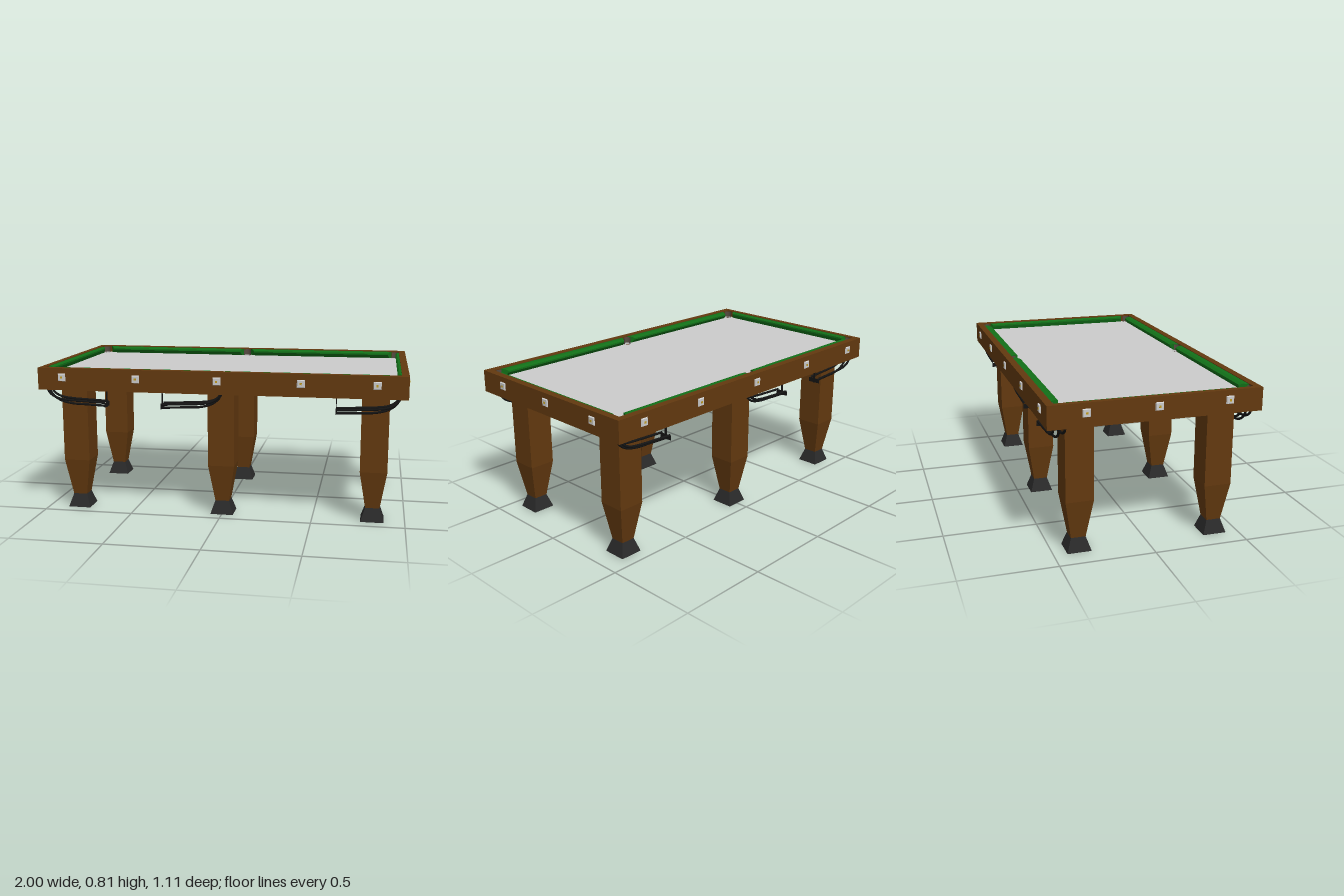
import * as THREE from 'three';

const mat = (color, extra = {}) => new THREE.MeshStandardMaterial({ color, ...extra });

export function createModel() {
  const root = new THREE.Group();
  const wood = mat(0x63390f, { flatShading: true });
  const grey = mat(0xcccccc);
  const green = mat(0x127018, { flatShading: true });
  const rubber = mat(0x2a2a2a, { flatShading: true });
  const black = mat(0x141414);
  const gold = mat(0xc09a20);
  const leather = mat(0x554a40, { side: THREE.DoubleSide });

  const add = (name, geometry, material, x = 0, y = 0, z = 0, parent = root) => {
    const mesh = new THREE.Mesh(geometry, material);
    mesh.name = name;
    mesh.position.set(x, y, z);
    parent.add(mesh);
    return mesh;
  };
  const rect = (x0, x1, z, Type = THREE.Shape) => new Type(
    [[x0, -z], [x1, -z], [x1, z], [x0, z]].map(p => new THREE.Vector2(...p)));
  // Plan shape raised upwards from y0 to y1
  const slab = (name, shape, y0, y1, material) => add(name,
    new THREE.ExtrudeGeometry(shape, { depth: y1 - y0, bevelEnabled: false, curveSegments: 10 })
      .rotateX(-Math.PI / 2), material, 0, y0, 0);

  const BOTTOM = 0.695, BED = 0.775, TOP = 0.815;
  const HALF_X = 0.99, HALF_Z = 0.548;
  const IN_L = -0.96, IN_R = 0.952, IN_Z = 0.51;

  // Pocket centres
  const pockets = [];
  for (const sz of [-1, 1]) {
    pockets.push({ x: -0.936, z: sz * 0.486, dx: -1, dz: sz });
    pockets.push({ x: 0, z: sz * 0.487, dx: 0, dz: sz });
    pockets.push({ x: 0.929, z: sz * 0.486, dx: 1, dz: sz });
  }
  const R = 0.0225;

  // Wooden frame around the bed
  const frame = rect(-HALF_X, HALF_X, HALF_Z);
  frame.holes.push(rect(IN_L, IN_R, IN_Z, THREE.Path));
  slab('frame', frame, BOTTOM, TOP, wood);

  // Bed with open pocket holes, wooden below and cloth on top
  const bed = rect(IN_L, IN_R, IN_Z);
  for (const p of pockets) bed.holes.push(new THREE.Path().absarc(p.x, -p.z, R, 0, Math.PI * 2, true));
  slab('bedBase', bed, BOTTOM, BED - 0.01, wood);
  slab('playingSurface', bed, BED - 0.01, BED, grey);

  // Pocket liners, standing up against the frame
  for (const p of pockets) {
    const arc = Math.PI * 1.1;
    add('pocketLiner', new THREE.CylinderGeometry(R, R, 0.11, 14, 1, true,
      Math.atan2(p.dx, p.dz) - arc / 2, arc), leather, p.x, 0.755, p.z);
  }

  // Cushion: undercut section, ends cut at an angle towards the nose
  function cushion(width, length, x, z, turn) {
    const section = new THREE.Shape([[0, BED], [width * 0.55, BED], [width, 0.796],
      [width, 0.805], [width * 0.6, 0.812], [0, 0.812]].map(p => new THREE.Vector2(...p)));
    const g = new THREE.ExtrudeGeometry(section, { depth: length, bevelEnabled: false });
    g.translate(0, 0, -length / 2);
    const pos = g.attributes.position;
    for (let i = 0; i < pos.count; i++) {
      const v = pos.getZ(i);
      pos.setZ(i, v - Math.sign(v) * pos.getX(i) * 0.55);
    }
    g.computeVertexNormals();
    add('cushion', g, green, x, 0, z).rotation.y = turn;
  }
  for (const sz of [-1, 1]) {
    cushion(0.044, 0.89, -0.465, sz * IN_Z, sz * Math.PI / 2);
    cushion(0.044, 0.89, 0.465, sz * IN_Z, sz * Math.PI / 2);
  }
  cushion(0.022, 0.92, IN_L, 0, 0);
  cushion(0.02, 0.92, IN_R, 0, Math.PI);

  // Sights: shallow square plates with a gold centre, facing +z before turning
  function sight(x, z, turn) {
    const g = new THREE.Group();
    g.name = 'sight';
    const s = Math.SQRT1_2;
    const plate = new THREE.CylinderGeometry(0.035 * s, 0.042 * s, 0.007, 4, 1)
      .rotateY(Math.PI / 4).rotateX(Math.PI / 2).toNonIndexed();
    plate.computeVertexNormals();
    add('sightPlate', plate, grey, 0, 0, 0.0035, g);
    add('sightStud', new THREE.BoxGeometry(0.011, 0.011, 0.003), gold, 0, 0, 0.0075, g);
    g.position.set(x, 0.765, z);
    g.rotation.y = turn;
    root.add(g);
  }
  for (const x of [-0.855, -0.443, -0.003, 0.44, 0.83]) {
    sight(x, HALF_Z, 0);
    sight(x, -HALF_Z, Math.PI);
  }
  for (const z of [-0.357, 0.005, 0.372]) {
    sight(HALF_X, z, Math.PI / 2);
    sight(-HALF_X, z, -Math.PI / 2);
  }

  // Square tapered legs with flared feet
  const square = profile => new THREE.LatheGeometry(
    profile.map(([h, y]) => new THREE.Vector2(h * Math.SQRT2, y)), 4).rotateY(Math.PI / 4);
  const legGeo = square([[0, 0.07], [0.038, 0.07], [0.0725, 0.28], [0.0725, 0.7], [0, 0.7]]);
  const footGeo = square([[0, 0], [0.063, 0], [0.038, 0.075], [0, 0.075]]);
  for (const x of [-0.825, 0, 0.825]) for (const z of [-0.367, 0.37]) {
    add('leg', legGeo, wood, x, 0, z);
    add('foot', footGeo, rubber, x, 0, z);
  }

  // Ball return: three bent rods under each pocket, held by a thin end post
  function ballReturn(x, z, dir) {
    const g = new THREE.Group();
    g.name = 'ballReturn';
    for (const [dz, drop] of [[-0.029, 0], [0, 0.022], [0.029, 0]]) {
      const path = new THREE.CatmullRomCurve3([[-0.018, 0.705], [0.005, 0.668], [0.045, 0.645],
        [0.11, 0.635], [0.205, 0.63], [0.315, 0.625]].map(
        ([a, y], i) => new THREE.Vector3(a * dir, y - drop * Math.min(1, i / 3), dz)));
      add('returnRod', new THREE.TubeGeometry(path, 24, 0.0065, 8), black, 0, 0, 0, g);
    }
    add('returnPost', new THREE.BoxGeometry(0.004, 0.1, 0.012), black, dir * 0.315, 0.648, 0, g);
    add('returnEndBar', new THREE.BoxGeometry(0.004, 0.024, 0.07), black, dir * 0.315, 0.612, 0, g);
    g.position.set(x, 0, z);
    root.add(g);
  }
  for (const sz of [-1, 1]) {
    ballReturn(-0.942, sz * 0.479, 1);
    ballReturn(0, sz * 0.479, -1);
    ballReturn(0.936, sz * 0.479, -1);
  }
  return root;
}
